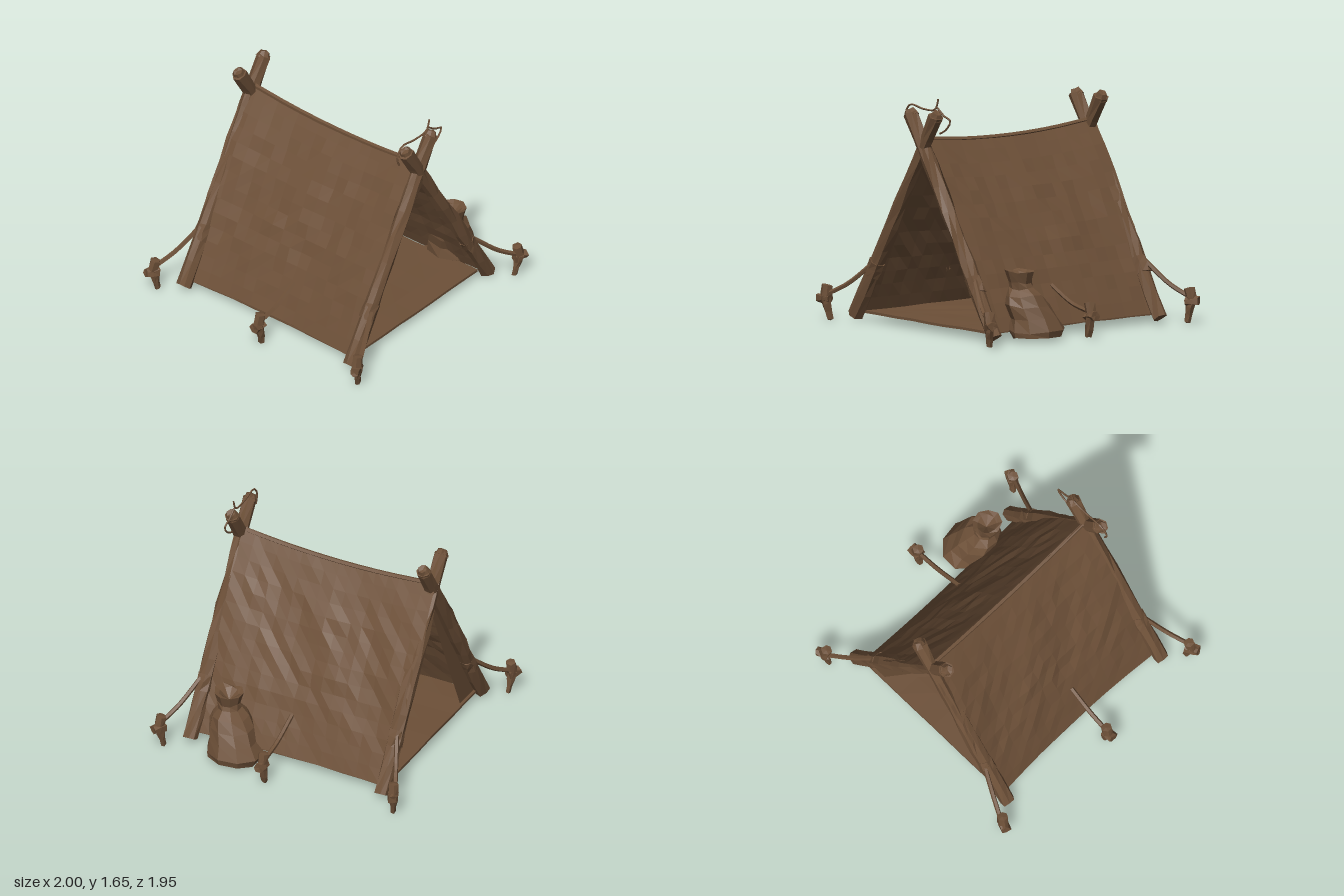
import * as THREE from 'three';

const brown = new THREE.MeshStandardMaterial({ color: 0x6d5038, flatShading: true, side: THREE.DoubleSide });
const V = (x, y, z) => new THREE.Vector3(x, y, z);

// Repeatable value in -1..1 for a position, so shared corners move together
function hash(x, y, z) {
  const r = (n) => Math.round(n * 1000);
  const s = Math.sin(r(x) * 0.1271 + r(y) * 0.3117 + r(z) * 0.0747 + 1.3) * 43758.5453;
  return (s - Math.floor(s)) * 2 - 1;
}

// Move every vertex by a rule
function warp(geometry, rule) {
  const p = geometry.attributes.position;
  const v = new THREE.Vector3();
  for (let i = 0; i < p.count; i++) {
    v.fromBufferAttribute(p, i);
    rule(v);
    p.setXYZ(i, v.x, v.y, v.z);
  }
  geometry.computeVertexNormals();
  return geometry;
}

function roughen(geometry, amount) {
  return warp(geometry, (v) => {
    const { x, y, z } = v;
    v.x += amount * hash(x, y, z);
    v.y += amount * hash(y, z, x);
    v.z += amount * hash(z, x, y);
  });
}

function add(parent, name, geometry) {
  const mesh = new THREE.Mesh(geometry, brown);
  mesh.name = name;
  parent.add(mesh);
  return mesh;
}

// Rough round stick from a to b
function stick(parent, name, a, b, ra, rb, sides = 7, rows = 6, rough = 0.008) {
  const d = b.clone().sub(a);
  const mesh = add(parent, name, roughen(new THREE.CylinderGeometry(rb, ra, d.length(), sides, rows), rough));
  mesh.position.copy(a).addScaledVector(d, 0.5);
  mesh.quaternion.setFromUnitVectors(V(0, 1, 0), d.normalize());
  return mesh;
}

function rope(parent, name, points, radius, steps = 8) {
  return add(parent, name, new THREE.TubeGeometry(new THREE.CatmullRomCurve3(points), steps, radius, 5));
}

// Pair of crossed poles with blunt tips and lashings
function poleFrame(z, name) {
  const g = new THREE.Group();
  g.name = name;
  const ends = [
    [V(-0.765, 0.045, z), V(0.095, 1.53, z)],
    [V(0.72, 0.045, z), V(-0.172, 1.52, z)],
  ];
  for (const [a, b] of ends) {
    const at = (t) => a.clone().lerp(b, t);
    stick(g, 'pole', a, b, 0.055, 0.05, 7, 9);
    stick(g, 'poleTip', at(0.99), at(1.018), 0.05, 0.033, 7, 1, 0.005);
    stick(g, 'poleLashing', at(0.2), at(0.27), 0.057, 0.061, 7, 2);
  }
  return g;
}

// Peg with a knobbed head and the guy rope that leads to it
function guyLine(start, px, pz) {
  const g = new THREE.Group();
  g.name = 'guyLine';
  const s = Math.sign(px);
  const lean = Math.abs(pz) > 0.5 ? Math.sign(pz) * 0.02 : 0;
  stick(g, 'pegShaft', V(px - s * 0.03, 0.012, pz - lean), V(px, 0.18, pz), 0.022, 0.036, 6, 3, 0.006);
  stick(g, 'pegHead', V(px + s * 0.055, 0.165, pz + lean), V(px - s * 0.03, 0.16, pz - lean), 0.034, 0.04, 6, 2);
  stick(g, 'pegTop', V(px, 0.17, pz), V(px - s * 0.015, 0.258, pz - lean * 0.5), 0.04, 0.034, 6, 1, 0.006);
  const end = V(px - s * 0.02, 0.19, pz);
  const mid = start.clone().lerp(end, 0.55);
  mid.y -= 0.025;
  rope(g, 'guyRope', [start, mid, end], 0.017);
  return g;
}

// Sheet from the ridge to the ground edge, sagging along the ridge and bowed outwards
function roofSheet(side) {
  return warp(new THREE.PlaneGeometry(1, 1, 16, 14), (v) => {
    const t = 0.5 - v.y;
    const k = v.x * 2;
    const z = -0.03 + k * 0.755;
    const bottom = side > 0 ? 0.64 + 0.02 * k * k : -0.69 - 0.035 * k * k;
    const edge = t * (1 - t) * 4;
    const n = 0.03 + hash(v.x, v.y, side) * 0.008 + 0.008 * Math.sin(k * 7 + t * 5);
    const ridge = 1.325 + 0.05 * k * k;
    v.set(
      -0.03 + (bottom + 0.03) * t + side * n * edge,
      ridge + (0.07 - ridge) * t + n * edge * 0.5,
      z + 0.006 * hash(t, k, 2)
    );
  });
}

// Slumped sack: lathe profile whose upper rings lean towards the tent
function sack() {
  const g = new THREE.Group();
  g.name = 'sack';
  const profile = [[0, 0.03], [0.19, 0.025], [0.21, 0.075], [0.175, 0.16], [0.165, 0.25], [0.135, 0.32],
    [0.085, 0.37], [0.082, 0.41], [0.105, 0.485], [0.07, 0.475], [0, 0.41]];
  const body = new THREE.LatheGeometry(profile.map(([r, y]) => new THREE.Vector2(r, y)), 9);
  warp(body, (v) => {
    const lean = THREE.MathUtils.smoothstep(v.y, 0.05, 0.44);
    const j = hash(v.x, v.y, v.z) * 0.06;
    v.x = v.x * (0.82 + 0.15 * lean + j) + 0.75 - 0.085 * lean;
    v.z = v.z * (1 + j) + 0.39 + 0.085 * lean;
    v.y += j * 0.2;
  });
  add(g, 'sackBody', body);
  return g;
}

export function createModel() {
  const model = new THREE.Group();
  model.name = 'tent';

  model.add(poleFrame(0.752, 'frontPoles'), poleFrame(-0.75, 'backPoles'));

  // Cloth roof
  add(model, 'leftRoof', roofSheet(1));
  add(model, 'rightRoof', roofSheet(-1));
  rope(model, 'ridgeFold', [-0.76, -0.4, 0, 0.4, 0.72].map((z) => V(-0.03, 1.312 + 0.08 * z * z, z)), 0.018, 10);

  // Narrow flaps beside the rear opening, the left one torn
  for (const [outer, inner] of [[-0.72, -0.5], [0.66, 0.47]]) {
    const flap = new THREE.Shape([
      new THREE.Vector2(-0.03, 1.3), new THREE.Vector2(outer, 0.07),
      new THREE.Vector2(inner, 0.07), new THREE.Vector2(inner * 0.5 - 0.015, 0.62),
      new THREE.Vector2(-0.03, 1.19),
    ]);
    if (inner > 0) {
      flap.holes.push(new THREE.Path([
        new THREE.Vector2(0.235, 0.82), new THREE.Vector2(0.225, 0.7),
        new THREE.Vector2(0.265, 0.61), new THREE.Vector2(0.28, 0.74),
      ]));
    }
    add(model, 'rearFlap', new THREE.ShapeGeometry(flap)).position.z = -0.72;
  }

  // Ground sheet
  const floor = add(model, 'groundSheet', warp(new THREE.BoxGeometry(1.36, 0.018, 1.46, 8, 1, 8), (v) => {
    v.x *= 0.97 + 0.05 * v.z * v.z;
    v.y += 0.004 * hash(v.x, 0, v.z);
  }));
  floor.position.set(-0.03, 0.068, -0.01);

  // Guy ropes and pegs at the corners and mid sides
  for (const sz of [1, -1]) {
    model.add(guyLine(V(-0.56, 0.43, sz * 0.77), -0.9, sz * 0.92));
    model.add(guyLine(V(0.53, 0.43, sz * 0.77), 0.86, sz * 0.92));
  }
  model.add(guyLine(V(-0.57, 0.33, 0.075), -0.94, 0.065));
  model.add(guyLine(V(0.52, 0.33, 0.06), 0.94, 0.065));

  model.add(sack());

  // Loose cord around the front pole tips
  rope(model, 'looseCord', [V(-0.23, 1.44, 0.74), V(-0.25, 1.51, 0.74), V(-0.2, 1.58, 0.74),
    V(-0.06, 1.565, 0.74), V(0.07, 1.575, 0.74), V(0.1, 1.65, 0.74)], 0.007, 14);
  rope(model, 'looseCord', [V(0.09, 1.59, 0.74), V(0.16, 1.54, 0.74), V(0.23, 1.51, 0.74),
    V(0.18, 1.44, 0.74), V(0.12, 1.41, 0.74)], 0.007, 10);

  return model;
}
